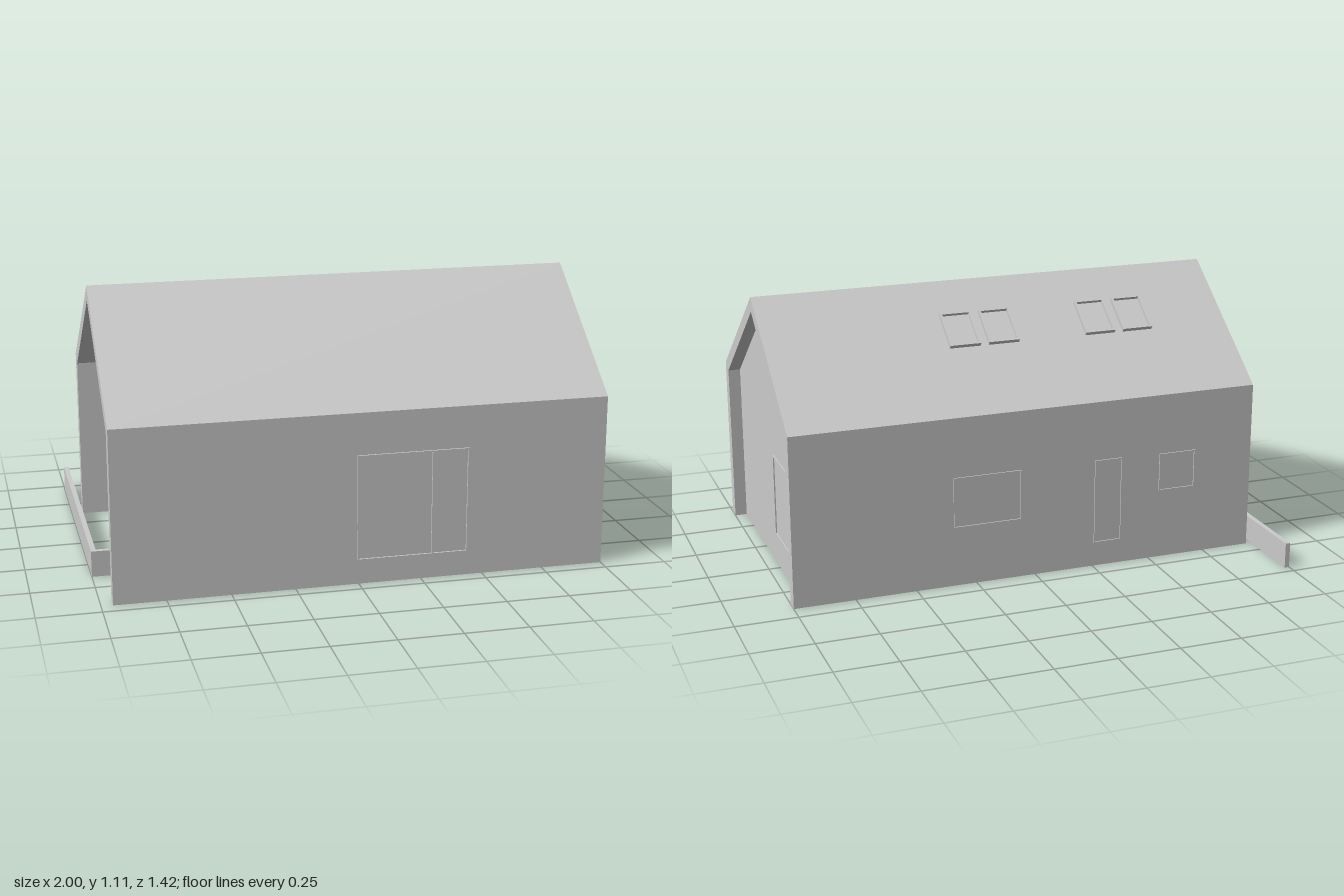
import * as THREE from 'three';

const material = new THREE.MeshStandardMaterial({ color: 0xcccccc, flatShading: true });

function add(parent, name, geometry, x = 0, y = 0, z = 0) {
  const mesh = new THREE.Mesh(geometry, material);
  mesh.name = name;
  mesh.position.set(x, y, z);
  parent.add(mesh);
  return mesh;
}

// Box given by its lower and upper corners
function block(parent, name, [x0, y0, z0], [x1, y1, z1]) {
  return add(parent, name, new THREE.BoxGeometry(x1 - x0, y1 - y0, z1 - z0),
    (x0 + x1) / 2, (y0 + y1) / 2, (z0 + z1) / 2);
}

// Cross-section of [z, y] points swept along x
function sweep(points, x0, x1) {
  const shape = new THREE.Shape(points.map(([z, y]) => new THREE.Vector2(-z, y)));
  return new THREE.ExtrudeGeometry(shape, { depth: x1 - x0, bevelEnabled: false })
    .rotateY(Math.PI / 2).translate(x0, 0, 0);
}

// Rectangular frame, centred in x and y, growing along +z
function frame(w, h, border, depth) {
  const rect = (a, b, T) => new T([[-a, -b], [a, -b], [a, b], [-a, b]].map(([x, y]) => new THREE.Vector2(x / 2, y / 2)));
  const shape = rect(w, h, THREE.Shape);
  shape.holes.push(rect(w - 2 * border, h - 2 * border, THREE.Path));
  return new THREE.ExtrudeGeometry(shape, { depth, bevelEnabled: false });
}

export function createModel() {
  const house = new THREE.Group();
  house.name = 'house';

  // Walls and roof as one continuous folded shell
  add(house, 'wallAndRoofShell', sweep([
    [0.695, 0], [0.695, 0.69], [0.13, 1.11], [-0.42, 0.7], [-0.42, 0],
    [-0.37, 0], [-0.37, 0.67], [0.13, 1.05], [0.645, 0.665], [0.645, 0],
  ], -0.955, 1));

  // Enclosed rooms, set back from both ends, with a deeper entrance recess
  add(house, 'mainRooms', sweep([
    [0.645, 0], [0.645, 0.665], [0.13, 1.05], [-0.37, 0.67], [-0.37, 0],
  ], -0.5, 0.95));
  add(house, 'porchSideRoom', sweep([
    [0.455, 0], [0.455, 0.807], [0.13, 1.05], [-0.37, 0.67], [-0.37, 0],
  ], -0.72, -0.5));

  // Entrance steps
  for (let i = 0; i < 3; i++) {
    block(house, 'entranceStep', [-0.72 + 0.055 * i, 0.035 * i, 0.455], [-0.5, 0.035 * (i + 1), 0.645]);
  }

  // Low garden wall with its return
  block(house, 'gardenWall', [-1, 0, -0.71], [-0.98, 0.105, 0.385]);
  block(house, 'gardenWallReturn', [-0.98, 0, 0.365], [-0.8, 0.105, 0.385]);

  // Sliding door on the front
  add(house, 'slidingDoorFrame', frame(0.445, 0.425, 0.006, 0.007), 0.2125, 0.3125, 0.704);
  block(house, 'slidingDoorMullion', [0.287, 0.106, 0.704], [0.293, 0.519, 0.711]);

  // Back windows and door: x range, y range
  for (const [name, x0, x1, y0, y1] of [
    ['largeBackWindow', 0.06, 0.345, 0.245, 0.455],
    ['backDoor', -0.375, -0.255, 0.1, 0.455],
    ['smallBackWindow', -0.7, -0.54, 0.29, 0.45],
  ]) {
    add(house, name, frame(x1 - x0, y1 - y0, 0.005, 0.005), (x0 + x1) / 2, (y0 + y1) / 2, -0.42)
      .rotation.y = Math.PI;
  }

  // End window
  add(house, 'endWindow', frame(0.285, 0.34, 0.005, 0.005), 0.95, 0.3, -0.0925).rotation.y = Math.PI / 2;

  // Skylights lying on the back slope
  const pitch = Math.atan2(0.41, 0.55);
  for (const x of [-0.55, -0.385, 0.035, 0.2]) {
    const skylight = new THREE.Group();
    skylight.name = 'skylight';
    skylight.position.set(x, 0.952, -0.082);
    skylight.rotation.x = -(Math.PI / 2 + pitch);
    add(skylight, 'skylightFrame', frame(0.13, 0.17, 0.009, 0.017));
    add(skylight, 'skylightPane', new THREE.BoxGeometry(0.112, 0.152, 0.004), 0, 0, 0.002);
    house.add(skylight);
  }

  return house;
}
